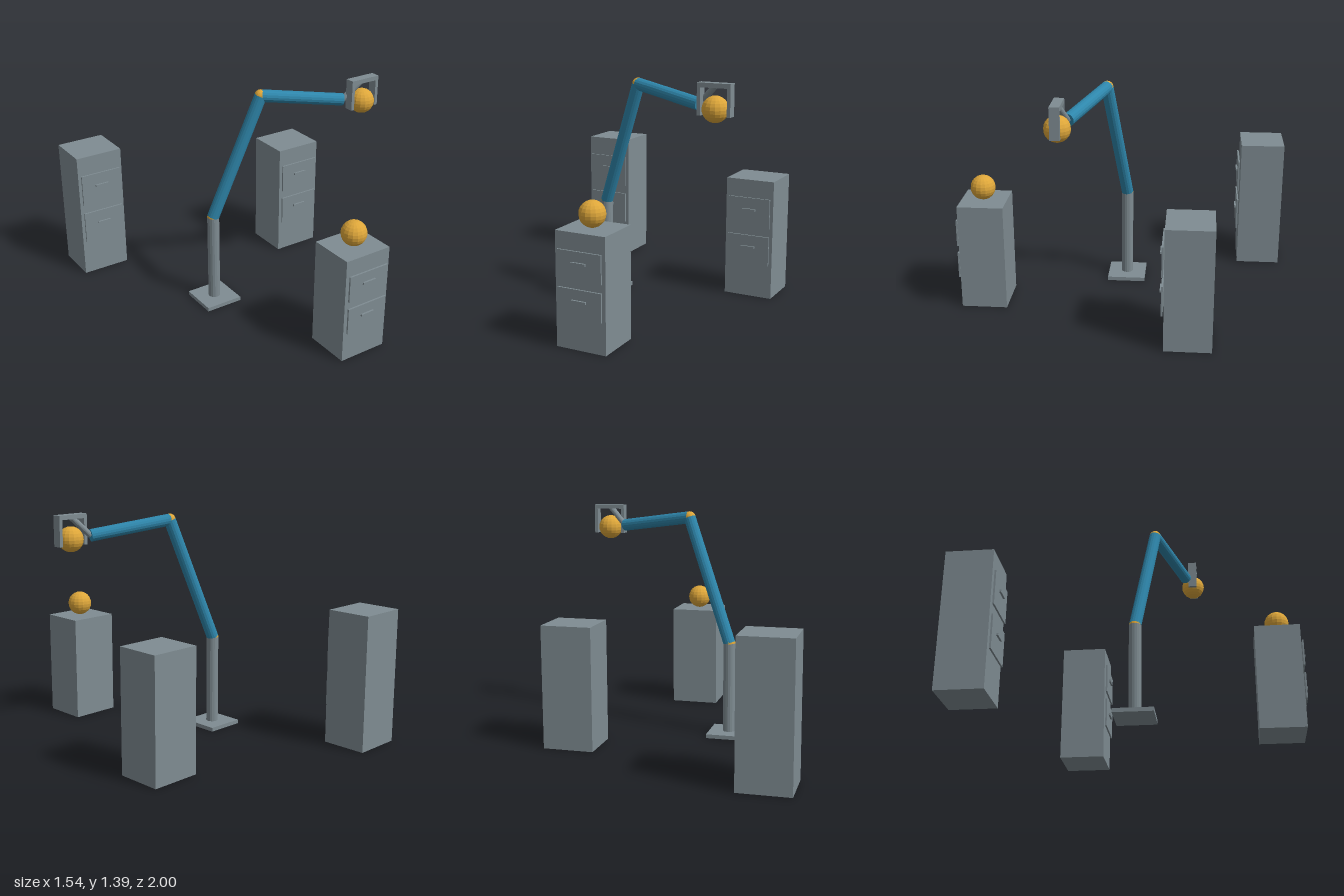
import * as THREE from 'three';

const mat = (name, color, flat = true) => {
  const m = new THREE.MeshStandardMaterial({ color, flatShading: flat });
  m.name = name;
  return m;
};

export function createModel() {
  const grey = mat('steel grey', 0x7f8c92);
  const blue = mat('arm blue', 0x2e86ab);
  const gold = mat('gold', 0xdda63a);
  const model = new THREE.Group();
  model.name = 'robotArmAndCabinets';

  const add = (parent, name, geometry, material, x, y, z) => {
    const mesh = new THREE.Mesh(geometry, material);
    mesh.name = name;
    mesh.position.set(x, y, z);
    parent.add(mesh);
    return mesh;
  };
  const box = (parent, name, w, h, d, x, y, z) =>
    add(parent, name, new THREE.BoxGeometry(w, h, d), grey, x, y, z);
  const ball = (parent, name, r, p) =>
    add(parent, name, new THREE.SphereGeometry(r, 16, 12), gold, p.x, p.y, p.z);

  // Cylinder running between two points
  const up = new THREE.Vector3(0, 1, 0);
  const rod = (parent, name, a, b, r, material) => {
    const dir = b.clone().sub(a);
    const mid = a.clone().add(b).multiplyScalar(0.5);
    const mesh = add(parent, name, new THREE.CylinderGeometry(r, r, dir.length(), 16), material, mid.x, mid.y, mid.z);
    mesh.quaternion.setFromUnitVectors(up, dir.normalize());
  };

  // Cabinets: body, two drawer fronts and their handles
  const cabinet = (name, x, z, h) => {
    const g = new THREE.Group();
    g.name = name;
    g.position.set(x, 0, z);
    box(g, 'cabinetBody', 0.304, h, 0.275, 0, h / 2, 0);
    for (const level of [0.408, 0.728]) {
      box(g, 'drawerFront', 0.268, 0.248 * h, 0.01, 0, level * h, 0.1485);
      box(g, 'drawerHandle', 0.088, 0.013, 0.011, 0, (level + 0.024) * h, 0.159);
    }
    model.add(g);
  };
  cabinet('tallCabinet', -0.622, -0.8625, 0.822);
  cabinet('middleCabinet', 0.618, -0.412, 0.737);
  cabinet('shortCabinet', 0.166, 0.8355, 0.65);

  // Arm: base, post, two blue links with gold joints
  const arm = new THREE.Group();
  arm.name = 'robotArm';
  model.add(arm);
  const foot = new THREE.Vector3(-0.228, 0.024, 0);
  const shoulder = new THREE.Vector3(-0.228, 0.575, 0);
  const elbow = new THREE.Vector3(0.047, 1.328, 0.099);
  const wrist = new THREE.Vector3(0.519, 1.26, 0.27);
  const grip = new THREE.Vector3(0.631, 1.375, 0.312);
  box(arm, 'basePlate', 0.236, 0.024, 0.236, -0.228, 0.012, 0);
  rod(arm, 'post', foot, shoulder, 0.037, grey);
  rod(arm, 'upperArm', shoulder, elbow, 0.037, blue);
  rod(arm, 'forearm', elbow, wrist, 0.037, blue);
  ball(arm, 'shoulderJoint', 0.037, shoulder);
  ball(arm, 'elbowJoint', 0.037, elbow);
  rod(arm, 'wristRod', wrist, grip, 0.018, grey);

  // Gripper: top bar with two fingers
  const gripper = new THREE.Group();
  gripper.name = 'gripper';
  gripper.position.copy(grip);
  box(gripper, 'gripperBar', 0.197, 0.026, 0.056, 0, 0, 0);
  for (const side of [-1, 1]) {
    box(gripper, 'gripperFinger', 0.02, 0.158, 0.056, side * 0.0885, -0.089, 0);
  }
  arm.add(gripper);

  // Held ball and the one resting on the short cabinet
  ball(model, 'heldBall', 0.075, new THREE.Vector3(0.631, 1.244, 0.312));
  ball(model, 'restingBall', 0.075, new THREE.Vector3(0.166, 0.726, 0.842));

  return model;
}
